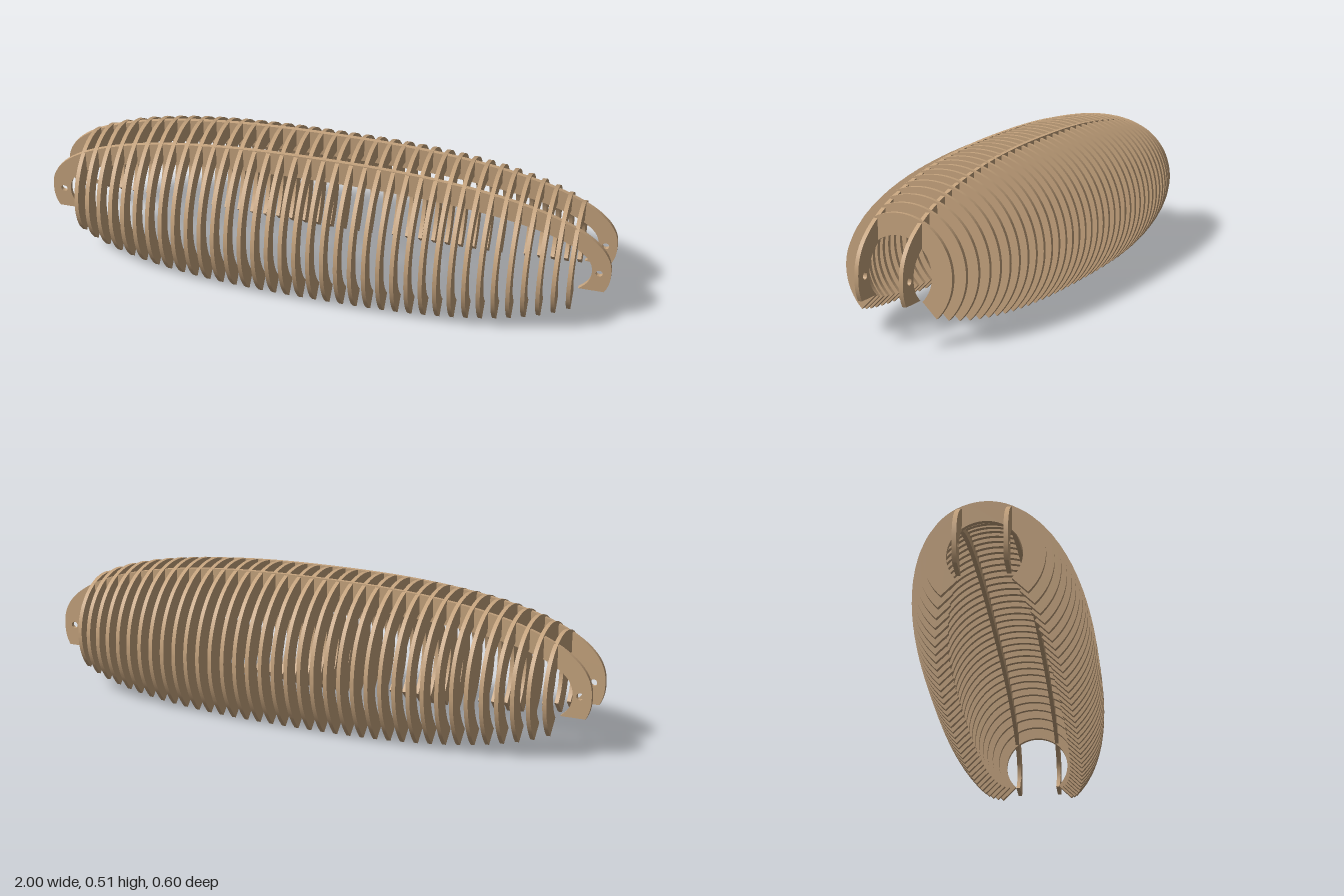
import * as THREE from 'three';
import { toCreasedNormals } from 'three/addons/utils/BufferGeometryUtils.js';

const AXIS_Y = 0.212;      // height of the hull's long axis
const THICK = 0.014;       // sheet thickness
const FINS = 37;
const FIN_REACH = 0.873;   // x of the outermost fins

// Height of a superellipse with half-length a, half-height b, exponent n
const superHeight = (x, a, b, n) => b * Math.pow(Math.max(0, 1 - Math.pow(Math.abs(x) / a, n)), 1 / n);

// Flat sheet cut from a shape, centred on its own thickness
function sheet(shape, curveSegments) {
  const geo = new THREE.ExtrudeGeometry(shape, { depth: THICK, bevelEnabled: false, curveSegments });
  geo.translate(0, 0, -THICK / 2);
  return toCreasedNormals(geo, 0.5);
}

// Ring open by a quarter turn at the bottom
function finGeometry(outer, inner) {
  const shape = new THREE.Shape();
  shape.absarc(0, 0, outer, -Math.PI / 4, Math.PI * 1.25, false);
  shape.absarc(0, 0, inner, Math.PI * 1.25, -Math.PI / 4, true);
  shape.closePath();
  return sheet(shape, 72).rotateY(Math.PI / 2);
}

// Long arch with flat feet and a pin hole at each end
function spineGeometry() {
  const n = 2.35, foot = -0.076, steps = 80;
  const arch = (a, b) => {
    const start = -Math.asin(Math.pow(-foot / b, n / 2));
    const pts = [];
    for (let i = 0; i <= steps; i++) {
      const t = start + (Math.PI - 2 * start) * i / steps;
      const c = Math.cos(t), s = Math.sin(t);
      pts.push(new THREE.Vector2(
        a * Math.sign(c) * Math.pow(Math.abs(c), 2 / n),
        b * Math.sign(s) * Math.pow(Math.abs(s), 2 / n)));
    }
    return pts;
  };
  const shape = new THREE.Shape([...arch(1, 0.292), ...arch(0.935, 0.203).reverse()]);
  for (const side of [-1, 1]) {
    shape.holes.push(new THREE.Path().absarc(side * 0.96, 0, 0.012, 0, Math.PI * 2, true));
  }
  return sheet(shape, 24);
}

export function createModel() {
  const model = new THREE.Group();
  model.name = 'ribbedShell';
  const wood = new THREE.MeshStandardMaterial({ color: 0xc6a47e });
  wood.name = 'plywood';

  // Fins, following a superellipse along the length
  const fins = new THREE.Group();
  fins.name = 'fins';
  for (let i = 0; i < FINS; i++) {
    const x = FIN_REACH * (2 * i / (FINS - 1) - 1);
    const outer = superHeight(x, 1, 0.3, 2.6);
    const inner = superHeight(x, 0.935, 0.237, 2.6);
    const fin = new THREE.Mesh(finGeometry(outer, inner), wood);
    fin.name = 'fin';
    fin.position.set(x, AXIS_Y, 0);
    fins.add(fin);
  }
  model.add(fins);

  // Two spines that carry the fins
  const spine = spineGeometry();
  for (const [name, z] of [['frontSpine', 0.078], ['backSpine', -0.078]]) {
    const mesh = new THREE.Mesh(spine, wood);
    mesh.name = name;
    mesh.position.set(0, AXIS_Y, z);
    model.add(mesh);
  }
  return model;
}
